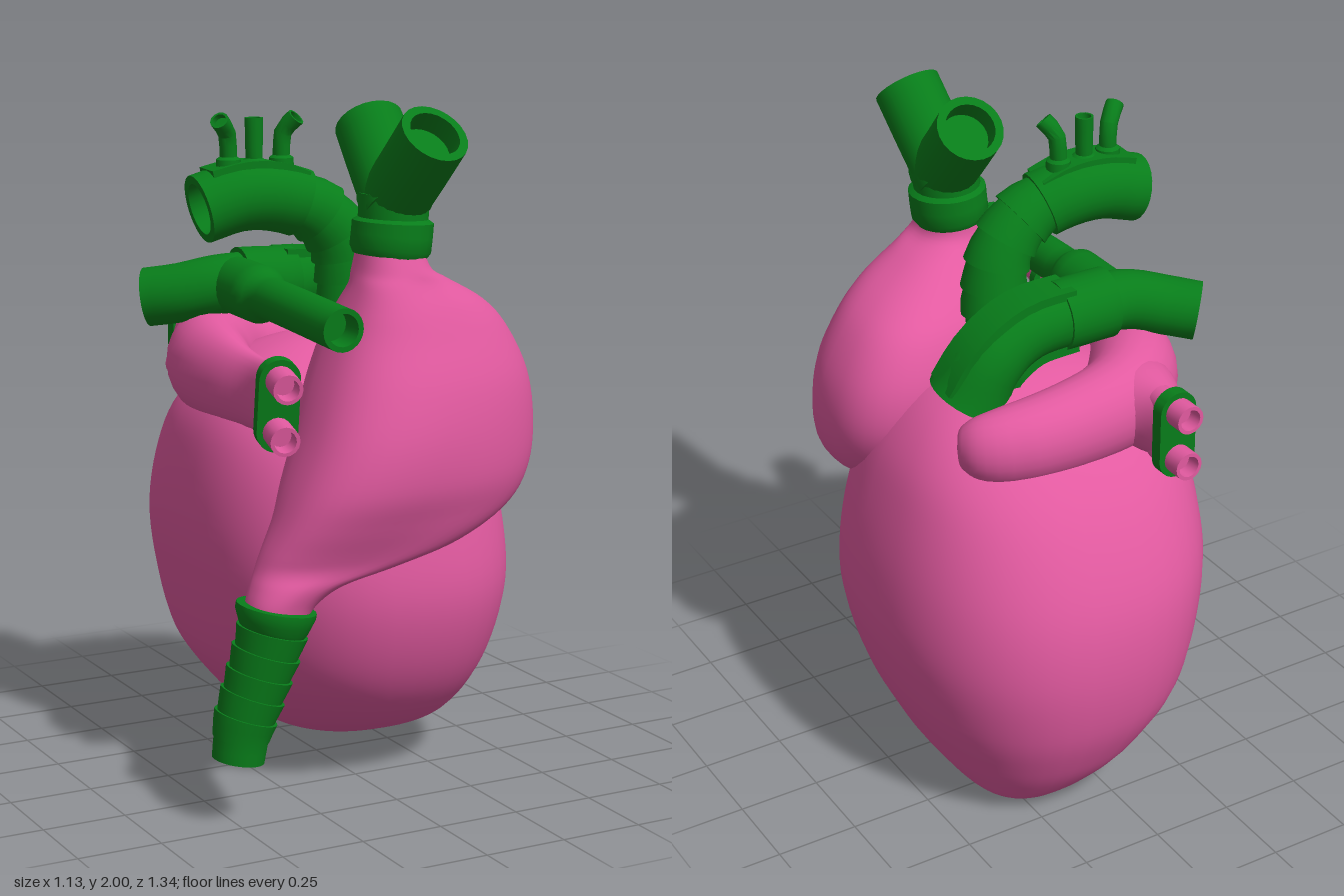
import * as THREE from 'three';
import { toCreasedNormals } from 'three/addons/utils/BufferGeometryUtils.js';

const PINK = new THREE.MeshStandardMaterial({ color: 0xe25aa0 });
const GREEN = new THREE.MeshStandardMaterial({ color: 0x087d1a });
const V = (a) => new THREE.Vector3(...a);
const curveOf = (pts) => new THREE.CatmullRomCurve3(pts.map(V));

// Skin a list of closed rings
function skin(rings, crease) {
  const n = rings[0].length, pos = [], idx = [];
  rings.forEach((r) => r.forEach((p) => pos.push(p.x, p.y, p.z)));
  for (let i = 0; i < rings.length - 1; i++)
    for (let j = 0; j < n; j++) {
      const k = (j + 1) % n, a = i * n + j, b = i * n + k, c = b + n, d = a + n;
      idx.push(a, b, d, b, c, d);
    }
  const g = new THREE.BufferGeometry();
  g.setAttribute('position', new THREE.Float32BufferAttribute(pos, 3));
  g.setIndex(idx);
  g.computeVertexNormals();
  return crease ? toCreasedNormals(g, crease) : g;
}

// Sweep along a path; profile rows are [t, radius, second radius]
function loft(pts, profile, { ref = [0, 1, 0], segs = 24, phase = 0, smooth = false } = {}) {
  const curve = curveOf(pts), len = curve.getLength();
  let rows = profile.map(([t, a, b = a]) => [t, a, b]);
  if (smooth) {
    const c = new THREE.CatmullRomCurve3(rows.map(V), false, 'catmullrom');
    rows = c.getPoints(rows.length * 6).map((p) => [p.x, p.y, p.z]);
  }
  const full = [rows[0]];
  for (let i = 1; i < rows.length; i++) {
    const n = Math.max(1, Math.ceil((Math.abs(rows[i][0] - rows[i - 1][0]) * len) / 0.04));
    for (let k = 1; k <= n; k++)
      full.push(rows[i].map((v, m) => THREE.MathUtils.lerp(rows[i - 1][m], v, k / n)));
  }
  const rings = full.map(([t0, a, b]) => {
    const t = THREE.MathUtils.clamp(t0, 0, 1);
    const p = curve.getPointAt(t), T = curve.getTangentAt(t), N = V(ref);
    N.addScaledVector(T, -N.dot(T)).normalize();
    const B = T.clone().cross(N);
    return Array.from({ length: segs }, (_, j) => {
      const w = (j / segs) * Math.PI * 2 + phase;
      return p.clone().addScaledVector(N, Math.max(a, 0) * Math.cos(w)).addScaledVector(B, Math.max(b, 0) * Math.sin(w));
    });
  });
  return skin(rings, smooth ? 0 : 0.6);
}

// Stack full ovals; rows are [y, xMin, xMax, zMin, zMax, skew]; skew swings the +x end back
function stack(rows) {
  const spline = (f) => new THREE.CatmullRomCurve3(rows.map(f).map(V), false, 'catmullrom');
  const cx = spline((r) => [r[1], r[0], r[2]]), cz = spline((r) => [r[3], r[5] || 0, r[4]]);
  const rings = [], n = (rows.length - 1) * 5, segs = 48;
  const full = (v) => Math.sign(v) * Math.abs(v) ** 0.84;
  for (let i = 0; i <= n; i++) {
    const a = cx.getPoint(i / n), b = cz.getPoint(i / n), skew = b.y;
    const rx = (a.z - a.x) / 2, rz0 = (b.z - b.x) / 2;
    const rz = Math.sqrt(Math.max(rz0 * rz0 - (skew * rx) ** 2, 0));
    rings.push(Array.from({ length: segs }, (_, j) => {
      const w = (j / segs) * Math.PI * 2, dx = rx * full(Math.cos(w));
      return new THREE.Vector3((a.x + a.z) / 2 + dx, a.y, (b.x + b.z) / 2 - skew * dx - rz * full(Math.sin(w)));
    }));
  }
  return skin(rings);
}

// Profile ending: rim, recess and recess floor
const openEnd = (r, depth = 0.1) => [[1, r], [1, r * 0.75], [1 - depth, r * 0.72], [1 - depth, 0]];
// Overlapping flared rings between two stations
const steps = (n, t0, t1, r0, r1) => Array.from({ length: n }, (_, i) => {
  const r = THREE.MathUtils.lerp(r0, r1, i / n), dt = (t1 - t0) / n;
  return [[t0 + i * dt, r * 1.08], [t0 + (i + 1) * dt, r * 0.95]];
}).flat();

export function createModel() {
  const model = new THREE.Group();
  const add = (name, geo, mat = GREEN, parent = model) => {
    const m = new THREE.Mesh(geo, mat);
    m.name = name;
    parent.add(m);
    return m;
  };

  // Heart chambers
  add('mainVentricle', stack([
    [0, 0.2, 0.2, -0.35, -0.35], [0.025, 0.03, 0.34, -0.44, -0.1], [0.1, -0.12, 0.415, -0.515, 0.17],
    [0.2, -0.23, 0.47, -0.58, 0.33], [0.35, -0.34, 0.53, -0.64, 0.44], [0.55, -0.4, 0.57, -0.665, 0.5],
    [0.75, -0.43, 0.56, -0.64, 0.49], [0.95, -0.42, 0.515, -0.55, 0.44], [1.1, -0.38, 0.455, -0.43, 0.35],
    [1.22, -0.28, 0.35, -0.27, 0.22], [1.29, -0.12, 0.2, -0.13, 0.1], [1.31, 0.04, 0.04, 0, 0],
  ]), PINK);
  add('frontVentricle', stack([
    [0.58, -0.46, -0.29, 0.38, 0.54, 0], [0.63, -0.455, -0.25, 0.37, 0.55, 0], [0.68, -0.435, -0.17, 0.36, 0.565, -0.1],
    [0.72, -0.415, 0.01, 0.34, 0.58, -0.1], [0.77, -0.395, 0.23, 0.29, 0.6, 0], [0.85, -0.36, 0.42, 0.2, 0.63, 0.12],
    [0.95, -0.32, 0.51, 0.1, 0.66, 0.2], [1.08, -0.265, 0.54, 0.04, 0.66, 0.25], [1.22, -0.21, 0.52, 0.03, 0.63, 0.25],
    [1.35, -0.155, 0.45, 0.07, 0.58, 0.25], [1.43, -0.12, 0.36, 0.14, 0.55, 0.25], [1.5, -0.09, 0.22, 0.24, 0.52, 0.2],
    [1.54, -0.075, 0.14, 0.28, 0.505, 0], [1.6, -0.06, 0.12, 0.29, 0.48, 0],
  ]), PINK);
  add('atrium', loft(
    [[0.37, 1.18, -0.23], [0.27, 1.185, -0.295], [0.05, 1.2, -0.32], [-0.15, 1.215, -0.28],
      [-0.29, 1.215, -0.12], [-0.325, 1.2, 0.08], [-0.315, 1.185, 0.25], [-0.33, 1.18, 0.4]],
    [[0, 0, 0], [0.015, 0.07, 0.05], [0.1, 0.115, 0.095], [0.35, 0.14, 0.12], [0.55, 0.155, 0.135],
      [0.7, 0.14, 0.1], [0.85, 0.11, 0.05], [1, 0.11, 0.045]], { smooth: true }), PINK);
  add('atriumBackNeck', loft([[-0.17, 1.215, -0.24], [-0.185, 1.21, -0.38], [-0.185, 1.2, -0.52]],
    [[0, 0.13, 0.17], [0.35, 0.13, 0.13], [0.7, 0.115, 0.075], [1, 0.11, 0.05]], { smooth: true }), PINK);

  // Paired veins held by an oblong collar
  const plate = new THREE.Shape();
  plate.absarc(0, 0.075, 0.06, 0, Math.PI);
  plate.absarc(0, -0.075, 0.06, Math.PI, Math.PI * 2);
  const plateGeo = new THREE.ExtrudeGeometry(plate, { depth: 0.04, bevelEnabled: false, curveSegments: 10 });
  [['front', [-0.33, 1.185, 0.38], 0.12, -0.22], ['back', [-0.18, 1.205, -0.49], 0, Math.PI]].forEach(([side, p, dip, turn]) => {
    const g = new THREE.Group();
    g.name = side + 'VeinPair';
    g.position.set(...p);
    g.rotation.set(dip, turn, 0);
    add('veinCollar', toCreasedNormals(plateGeo, 0.6), GREEN, g);
    const end = side === 'front' ? 0.13 : 0.1;
    for (const y of [-0.075, 0.075])
      add('vein', loft([[0, y, -0.05], [0, y, 0.04], [0, y, end]], [[0, 0.043], ...openEnd(0.043, 0.3)], { segs: 16 }), PINK, g);
    model.add(g);
  });

  // Lower ribbed hose
  add('lowerHose', loft([[-0.372, 0.62, 0.465], [-0.383, 0.56, 0.463], [-0.425, 0.42, 0.455], [-0.47, 0.28, 0.448], [-0.485, 0.185, 0.445]],
    [[0, 0], [0, 0.115], [0.04, 0.115], [0.13, 0.1], [0.15, 0.095], ...steps(5, 0.15, 0.86, 0.096, 0.083),
      [0.86, 0.078], ...openEnd(0.075, 0.12)], { ref: [0, 0, 1] }));

  // Forked outlet on the front ventricle
  const fork = new THREE.Group();
  fork.name = 'forkedOutlet';
  add('forkStem', loft([[0.03, 1.575, 0.385], [0.04, 1.66, 0.385], [0.045, 1.77, 0.385]],
    [[0, 0], [0, 0.105], [0.1, 0.116], [0.5, 0.116], [0.55, 0.1], [0.9, 0.1], [1, 0]], { ref: [0, 0, 1] }), GREEN, fork);
  for (const s of [-1, 1])
    add('forkBranch', loft([[0.044, 1.71, 0.385 - s * 0.03], [0.055, 1.82, 0.385 + s * 0.08], [0.066, 1.932, 0.385 + s * 0.187]],
      [[0, 0], [0, 0.1], ...openEnd(0.1, 0.2)], { ref: [1, 0, 0] }), GREEN, fork);
  model.add(fork);

  // Arched vessel with ribbed riser
  const arch = [[0.055, 1.25, 0.095], [0.055, 1.45, 0.095], [0.03, 1.58, 0.095], [-0.05, 1.675, 0.09],
    [-0.17, 1.72, 0.075], [-0.29, 1.725, 0.065], [-0.405, 1.695, 0.055]];
  add('archVessel', loft(arch, [[0, 0.09], ...steps(7, 0, 0.62, 0.092, 0.092), [0.62, 0.1], ...openEnd(0.1)], { ref: [0, 0, 1] }));
  // Raised panel and its three small branches
  add('archPanel', loft([[-0.1, 1.745, 0.085], [-0.18, 1.775, 0.077], [-0.28, 1.78, 0.068], [-0.375, 1.76, 0.06]],
    [[0, 0], [0, 0.075, 0.07], [1, 0.075, 0.07], [1, 0]], { ref: [0, 0, 1], segs: 4, phase: Math.PI / 4 }));
  [[-0.32, -0.045, 0.035], [-0.238, 0, 0], [-0.15, 0.03, 0.035]].forEach(([x, dx, dz]) => {
    const z = 0.07;
    add('archBranch', loft([[x, 1.78, z], [x, 1.86, z], [x + dx * 0.15, 1.91, z + dz * 0.15], [x + dx, 1.95, z + dz]],
      [[0, 0.038], [0.28, 0.036], [0.32, 0.025], ...openEnd(0.027)], { ref: [0.4, 0, 1], segs: 12 }));
  });

  // Rear vessel bending over to the right side, with a raised band
  const rear = [[0.25, 1.24, -0.085], [0.19, 1.36, -0.11], [0.08, 1.43, -0.115], [-0.08, 1.445, -0.12],
    [-0.25, 1.445, -0.13], [-0.36, 1.42, -0.18], [-0.44, 1.405, -0.24]];
  add('rearVessel', loft(rear, [[0, 0], [0, 0.122], [0.1, 0.108], [0.25, 0.098], [0.46, 0.096], [0.46, 0.104],
    [0.66, 0.104], [0.66, 0.089], ...openEnd(0.087)], { ref: [0, 0, 1] }));
  add('rearBand', loft(rear.slice(0, 4), [[0.06, 0], [0.06, 0.085, 0.158], [0.3, 0.085, 0.148], [0.97, 0.085, 0.141], [0.97, 0]],
    { ref: [0, 0, 1], segs: 4, phase: Math.PI / 4 }));

  // Straight side pipe running forward
  add('sidePipe', loft([[-0.215, 1.445, -0.12], [-0.225, 1.435, 0.2], [-0.23, 1.412, 0.595]],
    [[0, 0.085], [0.28, 0.085], [0.34, 0.062], ...openEnd(0.062)]));

  return model;
}
